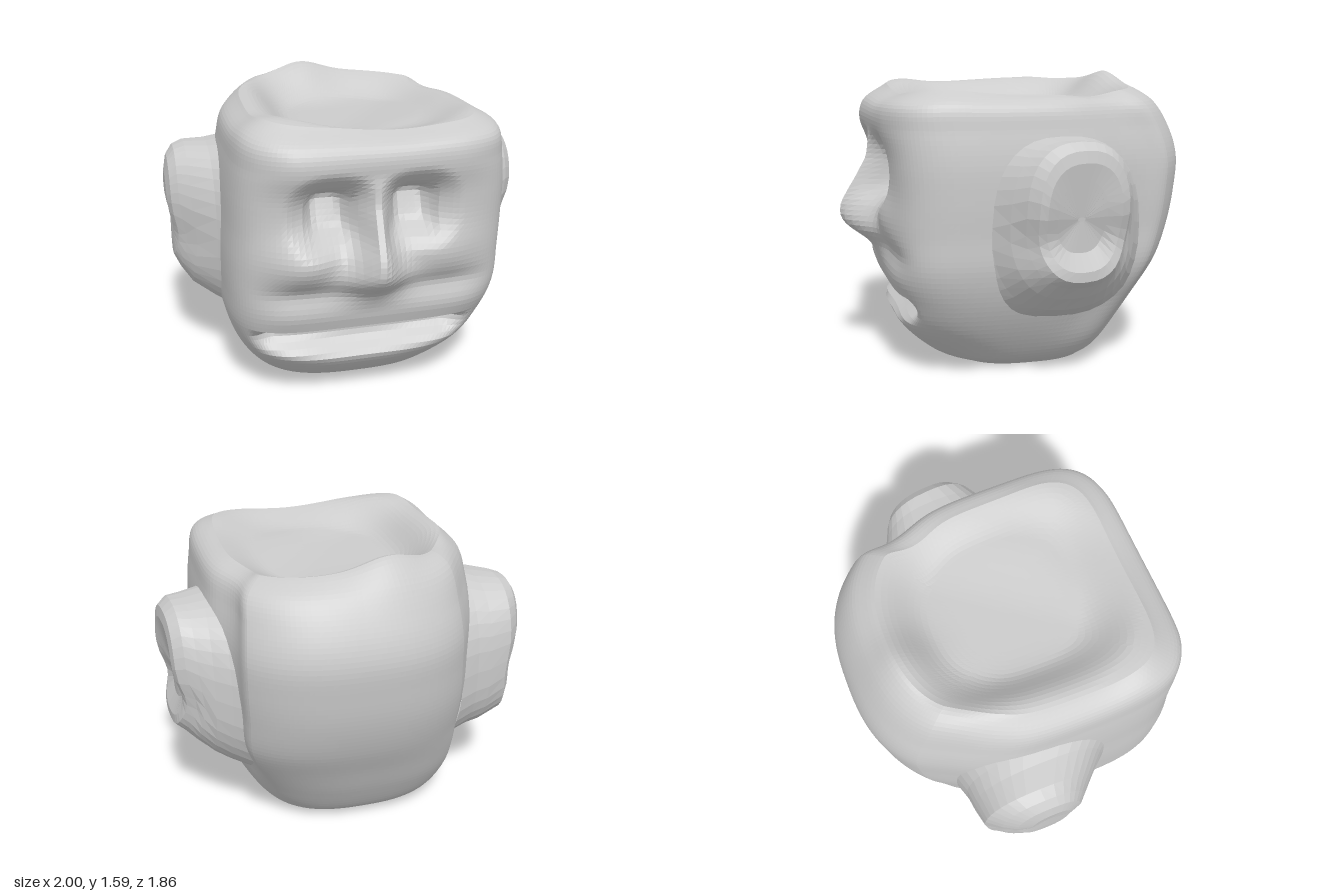
import * as THREE from 'three';
import { mergeVertices } from 'three/addons/utils/BufferGeometryUtils.js';

const step = THREE.MathUtils.smoothstep;
const lerp = THREE.MathUtils.lerp;
const bump = (d, w) => Math.exp(-(d * d) / (w * w));
const spot = (x, y, cx, cy, wx, wy) => bump(x - cx, wx) * bump(y - cy, wy);
// flat-bottomed rounded mask: 1 inside, 0 outside; a higher power is squarer
const patch = (x, y, cx, cy, rx, ry, soft, power) => {
  const r = Math.pow(Math.pow(Math.abs(x - cx) / rx, power) + Math.pow(Math.abs(y - cy) / ry, power), 1 / power);
  return 1 - step(r, 1 - soft, 1 + soft);
};
const material = new THREE.MeshStandardMaterial({ color: 0xcccccc, flatShading: true });

// Head cross-sections: y, right half-width, left half-width, front z, back z
const rings = [
  [0.00, 0.44, 0.40, 0.32, -0.44],
  [0.07, 0.58, 0.49, 0.49, -0.54],
  [0.24, 0.68, 0.61, 0.65, -0.65],
  [0.42, 0.74, 0.70, 0.68, -0.74],
  [0.60, 0.75, 0.75, 0.71, -0.83],
  [0.78, 0.75, 0.76, 0.72, -0.89],
  [0.96, 0.74, 0.77, 0.72, -0.92],
  [1.14, 0.73, 0.77, 0.73, -0.93],
  [1.30, 0.71, 0.75, 0.74, -0.88],
  [1.43, 0.68, 0.72, 0.73, -0.79],
  [1.50, 0.58, 0.61, 0.62, -0.66],
];
const widths = new THREE.CatmullRomCurve3(rings.map(r => new THREE.Vector3(r[0], r[1], r[2])), false, 'catmullrom');
const depths = new THREE.CatmullRomCurve3(rings.map(r => new THREE.Vector3(r[0], r[3], r[4])), false, 'catmullrom');

// Relief of the face along z
function faceRelief(x, y) {
  let d = 0;
  // brow and cheeks
  d += (0.03 - 0.02 * x) * bump(y - 1.33, 0.11) * (1 - step(Math.abs(x), 0.4, 0.68));
  d += 0.09 * spot(x, y, -0.39, 0.84, 0.18, 0.14);
  d += 0.045 * spot(x, y, 0.34, 0.85, 0.18, 0.14);
  // nose, narrow at the bridge and broad below the tip
  const tip = step(y, 0.52, 0.82) * (1 - step(y, 0.84, 1.2));
  d += 0.21 * tip * bump(x + 0.03, lerp(0.17, 0.065, step(y, 0.62, 1.0)));
  d += 0.05 * bump(x + 0.02, 0.06) * step(y, 0.9, 1.1) * (1 - step(y, 1.15, 1.3));
  // eye sockets with a deeper floor that tilts upward
  for (const ex of [-0.25, 0.2]) {
    d -= 0.08 * patch(x, y, ex, 1.08, 0.17, 0.16, 0.5, 2.5);
    d -= (0.09 + 0.4 * (y - 1.05)) * patch(x, y, ex, 1.06, 0.1, 0.11, 0.4, 4);
  }
  // crease under the cheeks
  d -= 0.025 * bump(y - 0.66, 0.06) * (1 - step(Math.abs(x), 0.4, 0.7));
  // upper lip, and a mouth slot whose lower lip curves up to the corners
  d += 0.015 * bump(y - 0.52, 0.07) * (1 - step(Math.abs(x), 0.45, 0.7));
  const mx = (x + 0.06) / 0.57;
  const low = 0.24 + 0.05 * mx * mx;
  const slot = step(y, low - 0.01, low + 0.11) * (1 - step(y, 0.4, 0.43));
  d -= 0.125 * slot * (1 - step(Math.abs(mx), 0.8, 1.1));
  return d;
}

// Crater-like crown: steep wall on the right and back, shallow elsewhere
function crownRelief(x, z) {
  const floor = 0.115 - 0.05 * step(x + 0.7 * z, 0, 0.6);
  let h = -floor * patch(x, z, 0.06, -0.02, 0.5, 0.54, 0.28, 2.4);
  h += 0.055 * spot(x, z, -0.48, -0.2, 0.14, 0.5);
  h += 0.05 * spot(x, z, -0.1, -0.62, 0.16, 0.18);
  h += 0.05 * spot(x, z, -0.12, -0.62, 0.45, 0.18);
  h += 0.04 * spot(x, z, -0.45, 0.5, 0.25, 0.15);
  h -= 0.02 * spot(x, z, 0.1, 0.6, 0.25, 0.2);
  h += 0.012 * Math.sin(9 * x + 2) * bump(z - 0.45, 0.15);
  return h;
}

// Turns a point of a 2-unit cube into a point of the head
function sculpt(p) {
  const a = p.x, b = p.z;
  const t = THREE.MathUtils.clamp((p.y + 1) / 2, 0, 1);
  const w = widths.getPoint(t), q = depths.getPoint(t);
  const y = w.x;

  // square ring to rounded ring: boxy at the front, rounder at the back
  const front = lerp(2.8, 5.5, step(y, 0.05, 0.6));
  const n = lerp(2.6, front, step(b, -0.4, 0.4));
  const m = Math.max(Math.abs(a), Math.abs(b));
  const sum = Math.pow(Math.abs(a), n) + Math.pow(Math.abs(b), n);
  const k = m > 0 ? m / Math.pow(sum, 1 / n) : 0;
  // sides draw in behind the ears
  const taper = 1 - 0.09 * bump(b + 0.6, 0.35) * step(y, 0.1, 0.4);
  const x = (w.z - w.y) / 2 + a * k * taper * (w.y + w.z) / 2 + 0.05 * step(-b, 0.4, 1) * step(y, 0.2, 0.6);
  const z = (q.y + q.z) / 2 + b * k * (q.y - q.z) / 2;

  const crown = crownRelief(x, z) * step(y, 1.3, 1.5);
  const face = faceRelief(x, y) * step(b, 0.8, 1) * (1 - step(y, 1.42, 1.5));
  p.set(x, Math.max(0, y + crown), z + face);
}

function makeHead() {
  let geometry = new THREE.BoxGeometry(2, 2, 2, 48, 64, 44);
  const pos = geometry.attributes.position;
  const p = new THREE.Vector3();
  for (let i = 0; i < pos.count; i++) {
    p.fromBufferAttribute(pos, i);
    sculpt(p);
    pos.setXYZ(i, p.x, p.y, p.z);
  }
  // weld the cube faces into one skin
  geometry.deleteAttribute('normal');
  geometry.deleteAttribute('uv');
  geometry = mergeVertices(geometry, 1e-4);
  geometry.computeVertexNormals();
  const head = new THREE.Mesh(geometry, material);
  head.name = 'head';
  return head;
}

// Ear lofted outward from the head; sections: |x|, bottom, top, back z, front z
function makeEar(name, side, sections, waist, tilt) {
  const around = 36, verts = [], index = [];
  const power = v => Math.sign(v) * Math.pow(Math.abs(v), 0.8);
  sections.forEach(([x, y0, y1, z0, z1]) => {
    const outer = step(x, 0.75, 0.95);
    for (let j = 0; j < around; j++) {
      const angle = j / around * Math.PI * 2;
      const y = (y0 + y1) / 2 + power(Math.sin(angle)) * (y1 - y0) / 2;
      const z = (z0 + z1) / 2 + power(Math.cos(angle)) * (z1 - z0) / 2;
      const pinch = waist * bump(y - 0.77, 0.12);
      verts.push(side * (x + outer * (tilt * (z + 0.15) - pinch)), y, z);
    }
  });
  for (let i = 0; i < sections.length - 1; i++) {
    for (let j = 0; j < around; j++) {
      const a = i * around + j, b = i * around + (j + 1) % around;
      const c = a + around, d = b + around;
      if (side > 0) index.push(a, c, b, b, c, d);
      else index.push(a, b, c, b, d, c);
    }
  }
  const geometry = new THREE.BufferGeometry();
  geometry.setAttribute('position', new THREE.Float32BufferAttribute(verts, 3));
  geometry.setIndex(index);
  geometry.computeVertexNormals();
  const ear = new THREE.Mesh(geometry, material);
  ear.name = name;
  return ear;
}

export function createModel() {
  const group = new THREE.Group();
  group.name = 'sculptedHead';
  group.add(makeHead());
  // the last sections turn inward to a shallow hollow
  group.add(makeEar('leftEar', 1, [
    [0.58, 0.30, 1.30, -0.62, 0.40],
    [0.68, 0.34, 1.29, -0.55, 0.34],
    [0.76, 0.39, 1.28, -0.50, 0.26],
    [0.85, 0.47, 1.27, -0.46, 0.19],
    [0.92, 0.54, 1.27, -0.43, 0.13],
    [0.97, 0.58, 1.23, -0.40, 0.08],
    [0.98, 0.63, 1.17, -0.36, 0.04],
    [0.965, 0.72, 1.08, -0.28, -0.02],
    [0.95, 0.88, 0.90, -0.17, -0.13],
  ], 0.05, 0.1));
  group.add(makeEar('rightEar', -1, [
    [0.58, 0.30, 1.30, -0.57, 0.40],
    [0.68, 0.34, 1.29, -0.54, 0.32],
    [0.76, 0.37, 1.27, -0.53, 0.22],
    [0.88, 0.44, 1.26, -0.51, 0.10],
    [0.94, 0.53, 1.24, -0.44, 0.04],
    [0.98, 0.61, 1.19, -0.37, 0.00],
    [1.00, 0.70, 1.10, -0.29, -0.06],
    [0.99, 0.88, 0.90, -0.20, -0.16],
  ], 0.03, 0));
  return group;
}
